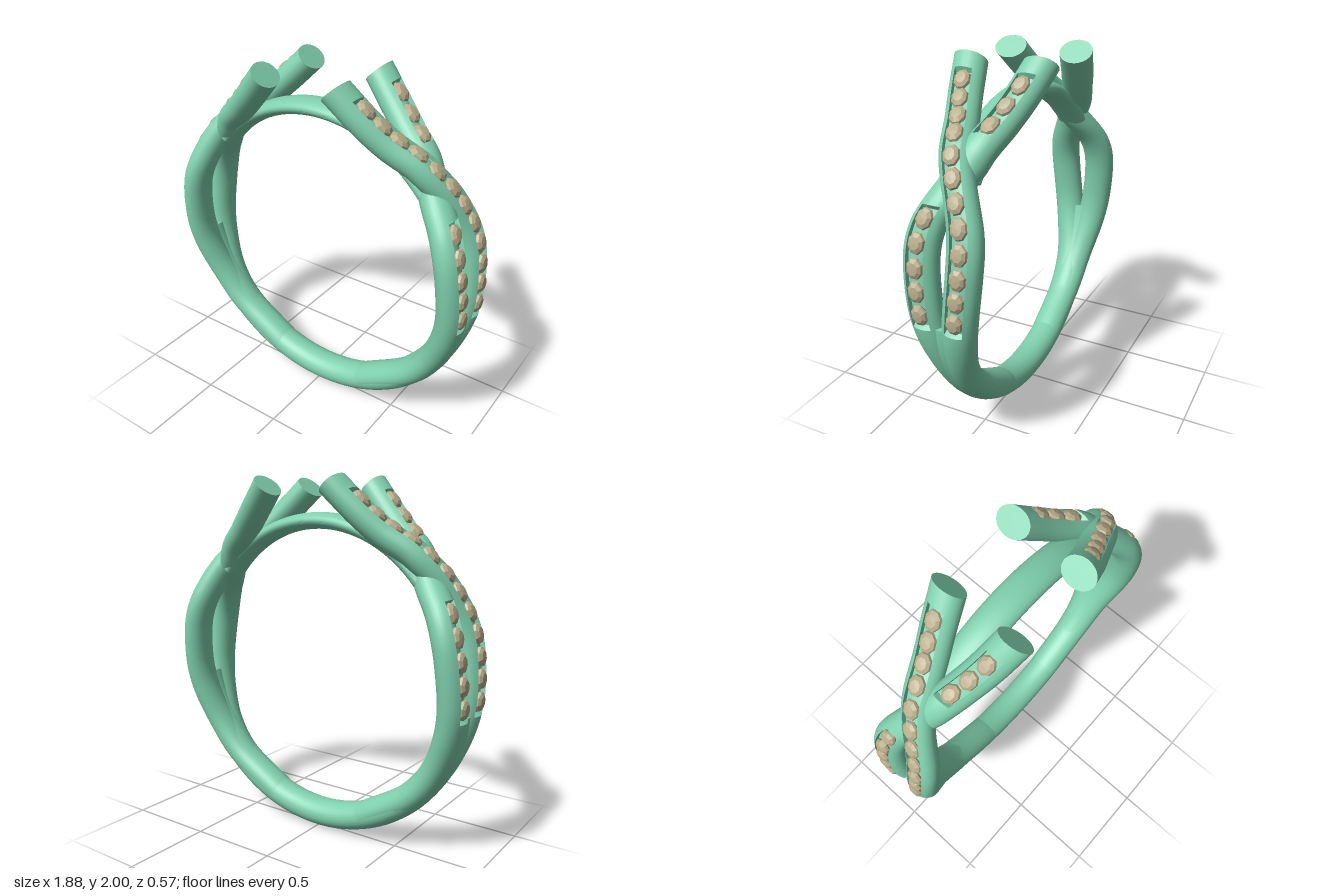
import * as THREE from 'three';
import { toCreasedNormals } from 'three/addons/utils/BufferGeometryUtils.js';

const metal = new THREE.MeshStandardMaterial({ color: 0x7fd0ae });
const gem = new THREE.MeshStandardMaterial({ color: 0xb9ac8a, flatShading: true });
const CY = 0.94; // height of the ring's centre

// Position and in-plane outward normal along a curve
function frame(curve, u, lift = () => 0) {
  const p = curve.getPointAt(u), t = curve.getTangentAt(u);
  const n = new THREE.Vector3(t.y, -t.x, 0).normalize();
  p.addScaledVector(n, lift(p.y));
  return { p, t, n };
}

// Oval cross-section: an arc around the underside, then the top strip that can sink into a channel
const RIM = 1.02;
const section = [];
for (let i = 0; i <= 24; i++) section.push([-Math.PI - RIM + (i / 24) * (Math.PI + 2 * RIM), 0]);
for (let i = 0; i <= 4; i++) section.push([RIM + (i / 4) * (Math.PI - 2 * RIM), 1]);

// Closed sweep of the oval; w is the half width along z, h(u) the half thickness, sink(u) the channel depth
function sweep(name, curve, steps, w, h, lift, sink = () => 0) {
  const rings = [];
  for (let i = 0; i <= steps; i++) {
    const u = i / steps, { p, n } = frame(curve, u, lift);
    rings.push(section.map(([a, top]) => {
      const q = p.clone().addScaledVector(n, h(u) * Math.sin(a) - top * sink(u));
      q.z += w * Math.cos(a);
      return q;
    }));
  }
  const pos = [], e = new THREE.Vector3(), f = new THREE.Vector3();
  const tri = (a, b, c) => {
    if (e.subVectors(b, a).cross(f.subVectors(c, a)).length() < 1e-9) return;
    for (const v of [a, b, c]) pos.push(v.x, v.y, v.z);
  };
  const m = section.length;
  for (let j = 0; j < m; j++) {
    const k = (j + 1) % m;
    for (let i = 0; i < steps; i++) {
      const A = rings[i], B = rings[i + 1];
      tri(A[j], A[k], B[j]);
      tri(A[k], B[k], B[j]);
    }
    tri(curve.getPointAt(0), rings[0][k], rings[0][j]);
    tri(frame(curve, 1, lift).p, rings[steps][j], rings[steps][k]);
  }
  const g = new THREE.BufferGeometry();
  g.setAttribute('position', new THREE.Float32BufferAttribute(pos, 3));
  const mesh = new THREE.Mesh(toCreasedNormals(g, 0.6), metal);
  mesh.name = name;
  return mesh;
}

// Circular arc between two angles in degrees
function arc(r, from, to) {
  const pts = [];
  for (let i = 0; i <= 32; i++) {
    const a = THREE.MathUtils.degToRad(from + (i / 32) * (to - from));
    pts.push(new THREE.Vector3(r * Math.cos(a), CY + r * Math.sin(a), 0));
  }
  return new THREE.CatmullRomCurve3(pts);
}

// Strand centreline, from the lower shank to the free end
const PATH = [
  [0.294, 0.132, 0], [0.608, 0.332, 0.006], [0.745, 0.51, 0.024], [0.831, 0.717, 0.068],
  [0.858, 0.88, 0.095], [0.845, 1.1, 0.115], [0.823, 1.21, 0.114], [0.79, 1.305, 0.096],
  [0.747, 1.395, 0.06], [0.7, 1.475, 0.02], [0.64, 1.555, -0.025], [0.585, 1.615, -0.053],
  [0.46, 1.705, -0.103], [0.35, 1.805, -0.147], [0.21, 1.948, -0.193],
];

// Faceted cushion stone, table facing +y
const stoneShape = new THREE.LatheGeometry(
  [[0, -0.035], [0.036, -0.014], [0.047, 0], [0.043, 0.012], [0.027, 0.023], [0, 0.025]]
    .map(([x, y]) => new THREE.Vector2(x, y)), 8);
stoneShape.rotateY(Math.PI / 8);

// One strand with rows of channel-set stones; each row is [low y, high y, count]
function strand(name, side, offset, rows) {
  const curve = new THREE.CatmullRomCurve3(PATH.map(([x, y, z]) => new THREE.Vector3(x, y, side * z)));
  curve.arcLengthDivisions = 600;
  const lift = (y) => offset * Math.exp(-(((y - 1.5) / 0.13) ** 2));
  const uAtY = (y) => {
    let u = 0;
    while (u < 1 && curve.getPointAt(u).y < y) u += 0.002;
    return u;
  };
  const spans = rows.map(([a, b, count]) => [uAtY(a), uAtY(b), count]);
  const pad = 0.056 / curve.getLength();
  const sink = (u) => (spans.some(([a, b]) => u > a - pad && u < b + pad) ? 0.026 : 0);
  const group = new THREE.Group();
  group.name = name;
  group.add(sweep(name + 'Band', curve, 170, 0.092, () => 0.075, lift, sink));
  for (const [a, b, count] of spans) {
    for (let i = 0; i < count; i++) {
      const { p, t, n } = frame(curve, a + ((b - a) * i) / (count - 1), lift);
      const stone = new THREE.Mesh(stoneShape, gem);
      stone.name = 'stone';
      const across = new THREE.Vector3().crossVectors(n, t).normalize();
      stone.quaternion.setFromRotationMatrix(new THREE.Matrix4().makeBasis(across, n, t.clone()));
      stone.position.copy(p).addScaledVector(n, 0.055);
      stone.scale.set(0.97, 1, 1.2);
      group.add(stone);
    }
  }
  return group;
}

export function createModel() {
  const model = new THREE.Group();
  model.name = 'ring';

  // Lower shank, thinning where it disappears between the strands
  model.add(sweep('shank', arc(0.86, 188, 352), 110, 0.092,
    (u) => 0.079 - 0.025 * Math.pow(Math.abs(2 * u - 1), 6)));
  // Thin bridge under the open top
  model.add(sweep('bridge', arc(0.825, 40, 140), 64, 0.09, () => 0.045));

  // Crossing strands, repeated by a half turn about the vertical axis
  for (const [name, turn] of [['leftShoulder', 0], ['rightShoulder', Math.PI]]) {
    const shoulder = new THREE.Group();
    shoulder.name = name;
    shoulder.add(strand('overStrand', -1, 0.01, [[0.875, 1.835, 12]]));
    shoulder.add(strand('underStrand', 1, -0.03, [[0.875, 1.315, 5], [1.675, 1.835, 3]]));
    shoulder.rotation.y = turn;
    model.add(shoulder);
  }
  return model;
}
